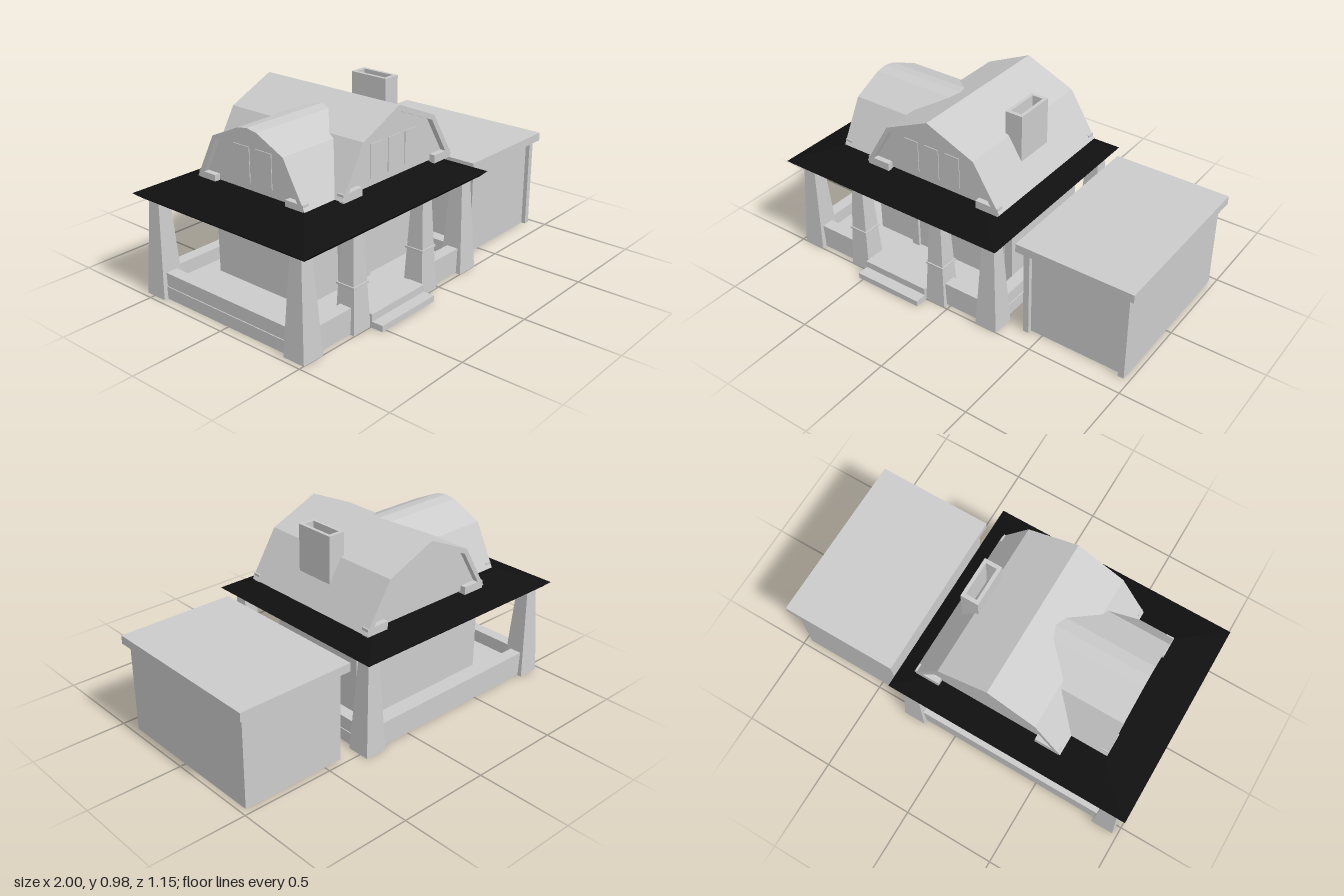
import * as THREE from 'three';

const grey = new THREE.MeshStandardMaterial({ color: 0xcccccc, flatShading: true });
const black = new THREE.MeshStandardMaterial({ color: 0x101010, flatShading: true });

function add(parent, name, geometry, material = grey) {
  const mesh = new THREE.Mesh(geometry, material);
  mesh.name = name;
  parent.add(mesh);
  return mesh;
}

// Box between two corners
function block(parent, name, x0, x1, y0, y1, z0, z1) {
  const g = new THREE.BoxGeometry(x1 - x0, y1 - y0, z1 - z0);
  g.translate((x0 + x1) / 2, (y0 + y1) / 2, (z0 + z1) / 2);
  return add(parent, name, g);
}

// Box whose bottom and top rectangles [x0, x1, z0, z1] differ
function frustum(parent, name, bottom, y0, top, y1, material) {
  const g = new THREE.BoxGeometry(1, 1, 1);
  const p = g.attributes.position;
  for (let i = 0; i < p.count; i++) {
    const r = p.getY(i) > 0 ? top : bottom;
    p.setXYZ(i, p.getX(i) > 0 ? r[1] : r[0], p.getY(i) > 0 ? y1 : y0, p.getZ(i) > 0 ? r[3] : r[2]);
  }
  g.computeVertexNormals();
  return add(parent, name, g, material);
}

function extrude(points, z0, z1) {
  const shape = new THREE.Shape(points.map(([x, y]) => new THREE.Vector2(x, y)));
  const g = new THREE.ExtrudeGeometry(shape, { depth: z1 - z0, bevelEnabled: false });
  return g.translate(0, 0, z0);
}

// Gambrel roof: an arched shell around a recessed gable core, with eave returns and windows
function gambrel(parent, name, outer, inner, z0, z1, windows, winY) {
  const group = new THREE.Group();
  group.name = name;
  parent.add(group);
  const recess = 0.03;
  add(group, 'roofShell', extrude([...outer, ...[...inner].reverse()], z0, z1));
  add(group, 'gableWall', extrude(inner, z0 + recess, z1 - recess));
  const left = outer[0][0], right = outer[outer.length - 1][0], y = outer[0][1];
  const w = (right - left) * 0.17;
  for (const [a, b] of [[z0, z0 + 0.04], [z1 - 0.04, z1]]) {
    block(group, 'eaveReturn', left + 0.01, left + w, y - 0.012, y + 0.03, a, b);
    block(group, 'eaveReturn', right - w, right - 0.01, y - 0.012, y + 0.03, a, b);
  }
  for (const [a, b] of windows) {
    block(group, 'gableWindow', a, b, winY[0], winY[1], z1 - recess - 0.01, z1 - recess + 0.004);
  }
  return group;
}

export function createModel() {
  const model = new THREE.Group();
  const house = new THREE.Group();
  house.name = 'house';
  model.add(house);

  // Porch floor, steps and low walls
  block(house, 'porchFloor', -0.95, 0.28, 0, 0.065, -0.52, 0.47);
  block(house, 'upperStep', -0.525, -0.135, 0, 0.07, 0.42, 0.51);
  block(house, 'lowerStep', -0.525, -0.135, 0, 0.032, 0.45, 0.572);
  block(house, 'porchWallFrontLeft', -0.94, -0.58, 0.005, 0.135, 0.41, 0.475);
  block(house, 'porchWallFrontRight', -0.075, 0.27, 0.005, 0.135, 0.41, 0.475);
  block(house, 'porchWallBack', -0.94, 0.27, 0.005, 0.135, -0.525, -0.46);
  block(house, 'porchWallLeft', -0.945, -0.88, 0.005, 0.135, -0.5, 0.45);
  block(house, 'porchWallRight', 0.21, 0.275, 0.005, 0.135, -0.5, 0.45);

  // Ground floor with door and window
  block(house, 'groundFloor', -0.665, 0.2, 0.06, 0.52, -0.36, 0.22);
  for (const [a, b] of [[-0.435, -0.39], [-0.265, -0.215]]) block(house, 'doorJamb', a, b, 0.065, 0.38, 0.21, 0.24);
  block(house, 'doorLintel', -0.39, -0.265, 0.355, 0.38, 0.21, 0.24);
  block(house, 'door', -0.39, -0.265, 0.065, 0.355, 0.21, 0.225);
  const knob = add(house, 'doorKnob', new THREE.SphereGeometry(0.006, 8, 6));
  knob.position.set(-0.285, 0.2, 0.23);
  block(house, 'frontWindow', -0.195, 0.155, 0.195, 0.4, 0.21, 0.225);

  // Tapered corner pillars
  for (const [x, z] of [[-0.912, 0.44], [0.242, 0.44], [-0.912, -0.487], [0.242, -0.487]]) {
    const b = 0.062, t = 0.033;
    frustum(house, 'cornerPillar', [x - b, x + b, z - b, z + b], 0, [x - t, x + t, z - t, z + t], 0.52);
  }

  // Banded pillars beside the steps
  for (const x of [-0.58, -0.077]) {
    const z = 0.44, b = 0.058, t = 0.033, c = 0.053;
    frustum(house, 'entryPillar', [x - b, x + b, z - b, z + b], 0, [x - t, x + t, z - t, z + t], 0.52);
    block(house, 'pillarBand', x - c, x + c, 0.23, 0.24, z - c, z + c);
  }

  // Dark hipped porch roof
  const eave = [-1, 0.33, -0.575, 0.54];
  frustum(house, 'roofSoffit', [-0.97, 0.3, -0.548, 0.515], 0.505, eave, 0.53, black);
  frustum(house, 'porchRoof', eave, 0.53, [-0.78, 0.1, -0.386, 0.335], 0.608, black);

  // Upper floor under the main gambrel
  gambrel(house, 'mainGambrel',
    [[-0.58, 0.61], [-0.435, 0.852], [-0.18, 0.967], [0.09, 0.852], [0.24, 0.61]],
    [[-0.553, 0.61], [-0.42, 0.83], [-0.18, 0.938], [0.073, 0.83], [0.207, 0.61]],
    -0.465, 0.38, [[-0.35, -0.265], [-0.225, -0.14], [-0.1, -0.015]], [0.645, 0.815]);

  // Side gambrel, turned to face -x and running into the main one
  const side = gambrel(house, 'sideGambrel',
    [[-0.355, 0.61], [-0.24, 0.835], [-0.07, 0.912], [-0.01, 0.922], [0.05, 0.912], [0.21, 0.835], [0.335, 0.61]],
    [[-0.328, 0.61], [-0.223, 0.815], [-0.065, 0.888], [-0.01, 0.897], [0.045, 0.888], [0.193, 0.815], [0.308, 0.61]],
    0.28, 0.775, [[-0.13, -0.03], [0.01, 0.11]], [0.645, 0.82]);
  side.rotation.y = -Math.PI / 2;

  // Hollow chimney
  const flue = new THREE.Shape();
  flue.moveTo(0.07, 0.128).lineTo(0.07, -0.093).lineTo(0.165, -0.093).lineTo(0.165, 0.128).closePath();
  const hole = new THREE.Path();
  hole.moveTo(0.088, 0.108).lineTo(0.147, 0.108).lineTo(0.147, -0.073).lineTo(0.088, -0.073).closePath();
  flue.holes.push(hole);
  const flueGeometry = new THREE.ExtrudeGeometry(flue, { depth: 0.28, bevelEnabled: false });
  flueGeometry.rotateX(-Math.PI / 2).translate(0, 0.7, 0);
  add(house, 'chimney', flueGeometry);

  // Flat-roofed garage with a recessed door
  const garage = new THREE.Group();
  garage.name = 'garage';
  model.add(garage);
  block(garage, 'garageBody', 0.4, 0.97, 0, 0.49, -0.465, 0.385);
  block(garage, 'garageJamb', 0.4, 0.432, 0, 0.49, 0.38, 0.408);
  block(garage, 'garageJamb', 0.938, 0.97, 0, 0.49, 0.38, 0.408);
  block(garage, 'garageRoof', 0.367, 1, 0.487, 0.532, -0.497, 0.43);

  return model;
}
